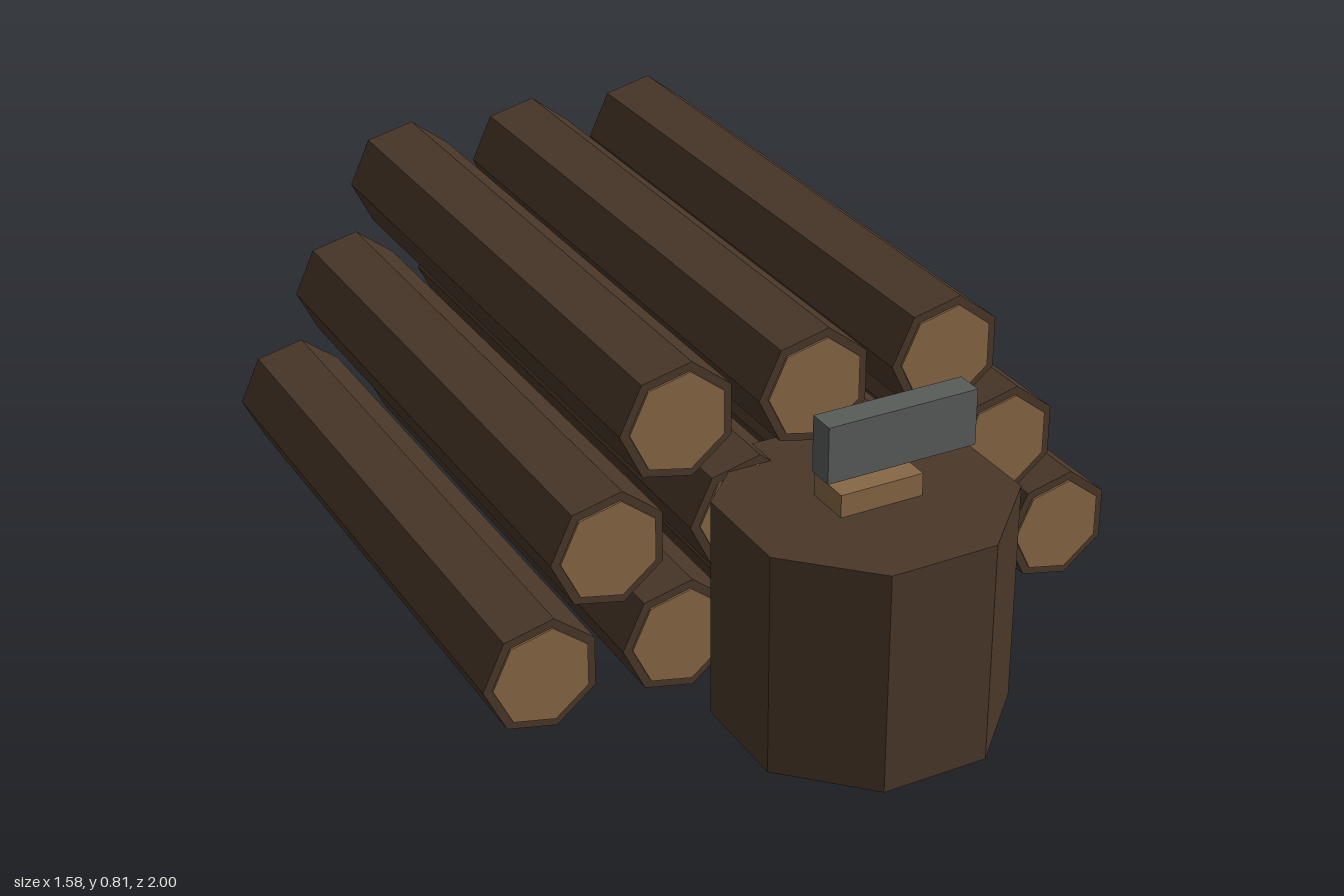
import * as THREE from 'three';

const flat = (name, color) => {
  const m = new THREE.MeshStandardMaterial({ color });
  m.name = name;
  return m;
};

// Seven-sided prism along z with one corner pointing to -x
function heptagonPrism(radius, length) {
  return new THREE.CylinderGeometry(radius, radius, length, 7)
    .rotateX(Math.PI / 2)
    .rotateZ(-Math.PI / 2)
    .toNonIndexed();
}

export function createModel() {
  const bark = flat('bark', 0x4a3829);
  const cutWood = flat('cutWood', 0x876845);
  const steel = flat('steel', 0x585d5a);

  const model = new THREE.Group();
  model.name = 'woodpile';

  function add(parent, name, geometry, material, x, y, z) {
    geometry.computeVertexNormals();
    const mesh = new THREE.Mesh(geometry, material);
    mesh.name = name;
    mesh.position.set(x, y, z);
    parent.add(mesh);
  }

  // Stacked logs: rows of five, four and three
  const length = 1.474, capDepth = 0.006, step = 0.329, rise = 0.263;
  const logGeometry = heptagonPrism(0.138, length);
  const capGeometry = heptagonPrism(0.117, capDepth);
  for (let row = 0; row < 3; row++) {
    const count = 5 - row;
    for (let i = 0; i < count; i++) {
      const log = new THREE.Group();
      log.name = `log${row + 1}_${i + 1}`;
      log.position.set(0.006 + (i - (count - 1) / 2) * step, 0.151 + row * rise, -0.258);
      add(log, 'logBark', logGeometry, bark, 0, 0, 0);
      for (const [name, side] of [['frontCut', 1], ['backCut', -1]]) {
        add(log, name, capGeometry, cutWood, 0, 0, side * (length / 2 + 0.002));
      }
      model.add(log);
    }
  }

  // Chopping stump
  const stump = new THREE.CylinderGeometry(0.328, 0.328, 0.527, 8).rotateY(Math.PI / 8).toNonIndexed();
  add(model, 'choppingStump', stump, bark, 0.005, 0.2635, 0.697);

  // Axe: handle block set in the stump, with the head above it
  add(model, 'axeHandle', new THREE.BoxGeometry(0.198, 0.56, 0.11), cutWood, 0.005, 0.3, 0.702);
  add(model, 'axeHead', new THREE.BoxGeometry(0.36, 0.132, 0.064), steel, 0.07, 0.662, 0.697);

  return model;
}
